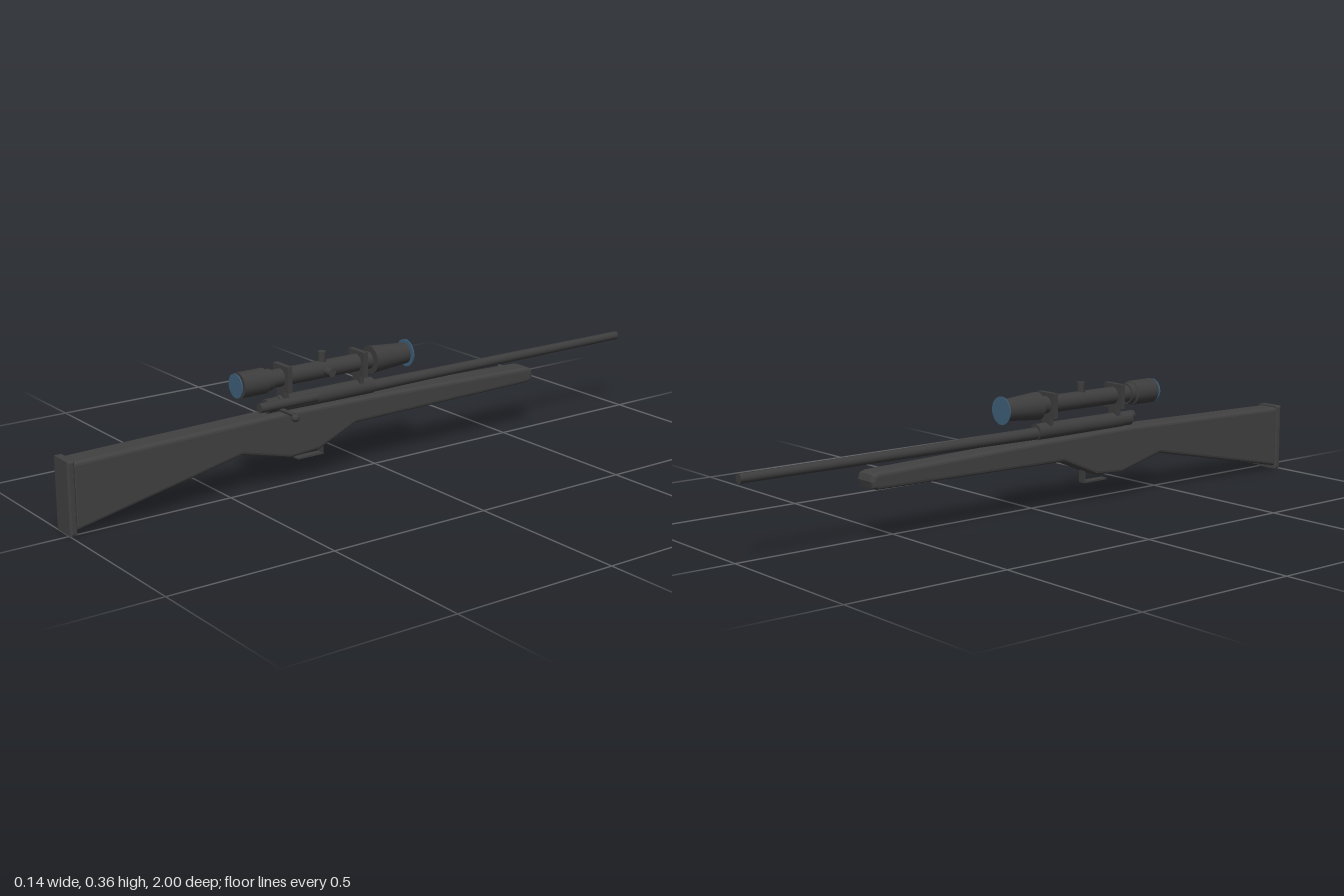
import * as THREE from 'three';

const CX = -0.031; // centre line of stock, barrel and scope
const SCOPE_Y = 0.313;

export function createModel() {
  const model = new THREE.Group();
  model.name = 'scopedRifle';
  const mat = (name, color) => {
    const m = new THREE.MeshStandardMaterial({ color });
    m.name = name;
    return m;
  };
  const stockMat = mat('stock charcoal', 0x414141);
  const metalMat = mat('dark metal', 0x3d3d3d);
  const glassMat = mat('lens blue', 0x3f5f7a);

  const add = (name, geo, material, x = 0, y = 0, z = 0, parent = model) => {
    const mesh = new THREE.Mesh(geo, material);
    mesh.name = name;
    mesh.position.set(x, y, z);
    parent.add(mesh);
    return mesh;
  };
  // Side profile of [z, y] points extruded across x, with rounded edges
  const slab = (points, width, bevel) => {
    const shape = new THREE.Shape(points.map(([z, y]) => new THREE.Vector2(z, y)));
    const geo = new THREE.ExtrudeGeometry(shape, {
      depth: width - 2 * bevel, bevelThickness: bevel, bevelSize: bevel,
      bevelOffset: -bevel, bevelSegments: 3, steps: 1,
    });
    geo.translate(0, 0, -(width - 2 * bevel) / 2);
    return geo.rotateY(-Math.PI / 2);
  };
  // Solid of revolution along z from [z, radius] points, listed front to back
  const turned = (points) => {
    const pts = [];
    points.forEach(([z, r]) => pts.push(new THREE.Vector2(r, z)));
    const parts = new THREE.Group();
    for (let i = 0; i < pts.length - 1; i++) {
      const a = pts[i], b = pts[i + 1];
      const geo = new THREE.CylinderGeometry(b.x, a.x, b.y - a.y, 24).rotateX(Math.PI / 2);
      add('section' + (i + 1), geo, metalMat, 0, 0, (a.y + b.y) / 2, parts);
    }
    return parts;
  };
  const addTurned = (name, points, x, y, parent = model) => {
    const g = turned(points);
    g.name = name;
    g.position.set(x, y, 0);
    parent.add(g);
  };

  // Stock with butt, grip, belly and fore-end
  add('stock', slab([
    [0.985, 0.012], [0.985, 0.205], [0.32, 0.218], [0, 0.214], [-0.59, 0.199],
    [-0.608, 0.193], [-0.613, 0.175], [-0.608, 0.156], [-0.59, 0.15],
    [0.07, 0.142], [0.2, 0.086], [0.3, 0.08], [0.46, 0.12],
  ], 0.075, 0.011), stockMat, CX);
  add('buttPlate', slab([
    [1, 0.003], [1, 0.21], [0.978, 0.21], [0.978, 0.003],
  ], 0.08, 0.006), stockMat, CX);

  // Barrel, receiver and bolt
  addTurned('barrel', [[-1, 0.013], [-0.2, 0.016], [0, 0.018]], CX, 0.232);
  addTurned('receiver', [[-0.01, 0.024], [0.32, 0.024]], CX, 0.236);
  addTurned('receiverTang', [[0.32, 0.021], [0.36, 0.021]], CX, 0.236);
  addTurned('bolt', [[0.2, 0.014], [0.392, 0.014]], -0.012, 0.241);
  const handle = new THREE.CylinderGeometry(0.006, 0.006, 0.07, 12).rotateZ(Math.PI / 2);
  add('boltHandle', handle, metalMat, 0.022, 0.225, 0.32);
  add('boltKnob', new THREE.SphereGeometry(0.0115, 16, 12), metalMat, 0.0605, 0.218, 0.32);

  // Trigger guard strap
  const guard = new THREE.Group();
  guard.name = 'triggerGuard';
  model.add(guard);
  add('guardStrap', new THREE.BoxGeometry(0.024, 0.005, 0.09), metalMat, CX, 0.064, 0.215, guard);
  add('guardPost', new THREE.BoxGeometry(0.024, 0.045, 0.005), metalMat, CX, 0.084, 0.172, guard);

  // Scope body
  const scope = new THREE.Group();
  scope.name = 'scope';
  model.add(scope);
  addTurned('scopeTube', [[0, 0.026], [0.35, 0.026]], CX, SCOPE_Y, scope);
  addTurned('objectiveBell', [[-0.133, 0.031], [-0.005, 0.041]], CX, SCOPE_Y, scope);
  addTurned('eyepiece', [[0.345, 0.031], [0.363, 0.031], [0.366, 0.037], [0.448, 0.037]], CX, SCOPE_Y, scope);

  // Lenses
  for (const [name, r, z] of [['rearLens', 0.035, 0.456], ['frontLens', 0.041, -0.137]]) {
    const disc = new THREE.CylinderGeometry(r, r, 0.003, 32).rotateX(Math.PI / 2);
    add(name, disc, glassMat, CX, SCOPE_Y, z, scope);
  }

  // Adjustment turrets on top and left
  add('topTurret', new THREE.CylinderGeometry(0.012, 0.012, 0.045, 16), metalMat,
    CX, 0.3435, 0.165, scope);
  add('sideTurret', new THREE.CylinderGeometry(0.012, 0.012, 0.045, 16).rotateZ(Math.PI / 2), metalMat,
    -0.0005, SCOPE_Y, 0.165, scope);

  // Square mount rings and their feet
  for (const z of [0.3, 0.036]) {
    const mount = new THREE.Group();
    mount.name = 'scopeMount';
    scope.add(mount);
    add('mountRing', new THREE.BoxGeometry(0.074, 0.074, 0.016), metalMat, CX, 0.312, z, mount);
    add('mountFoot', new THREE.BoxGeometry(0.036, 0.03, 0.016), metalMat, CX, 0.264, z, mount);
  }
  return model;
}
